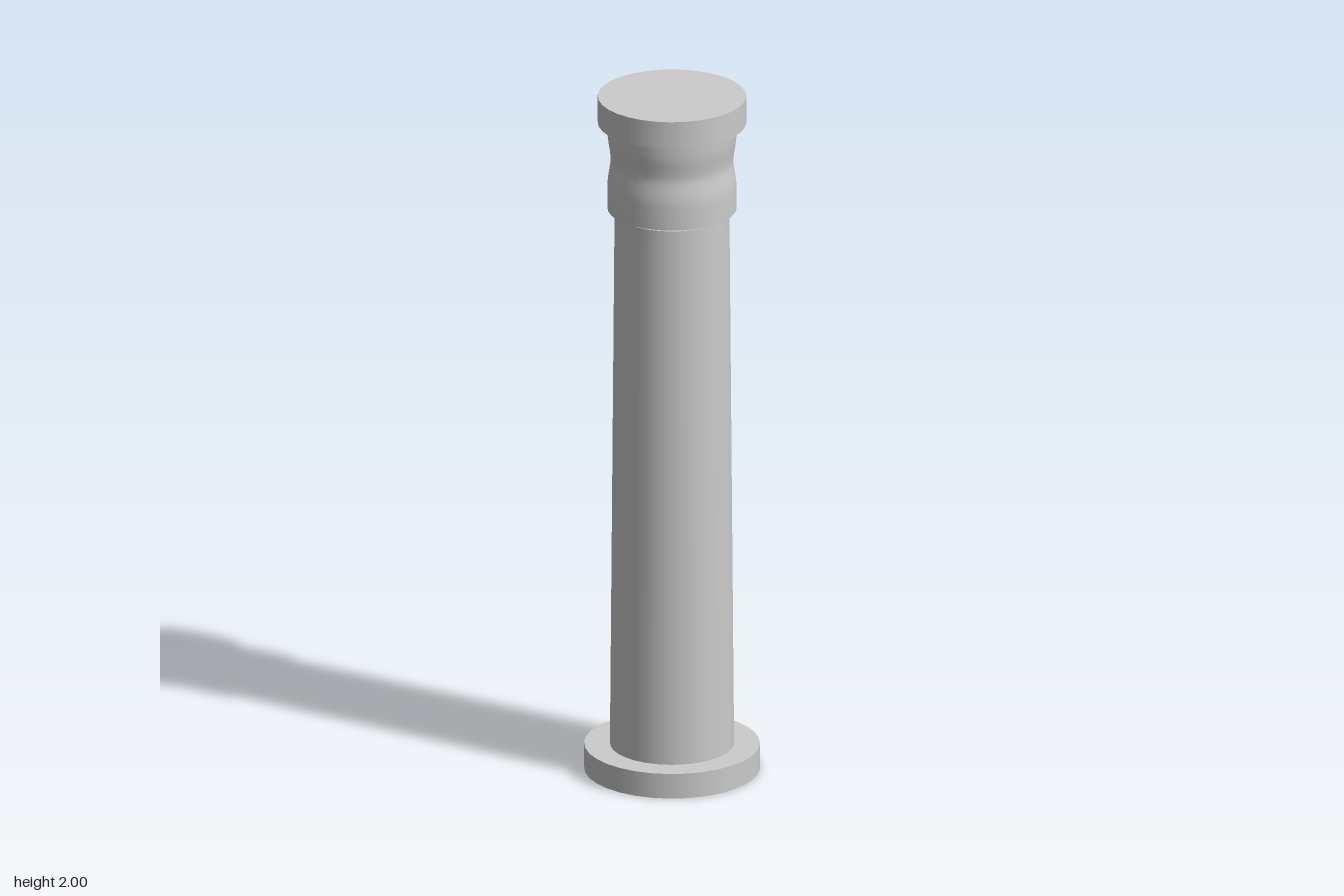
import * as THREE from 'three';
import { toCreasedNormals } from 'three/addons/utils/BufferGeometryUtils.js';

const SIDES = 32;

export function createModel() {
  const column = new THREE.Group();
  column.name = 'column';
  const material = new THREE.MeshStandardMaterial({ color: 0xcccccc });

  const add = (name, geometry) => {
    const mesh = new THREE.Mesh(geometry, material);
    mesh.name = name;
    column.add(mesh);
    return mesh;
  };

  // Round section between two heights
  const drum = (name, y0, y1, rBottom, rTop = rBottom) => {
    const mesh = add(name, new THREE.CylinderGeometry(rTop, rBottom, y1 - y0, SIDES));
    mesh.position.y = (y0 + y1) / 2;
  };

  drum('base', 0, 0.073, 0.245);
  drum('shaft', 0.073, 1.657, 0.173, 0.16);
  drum('neck', 1.657, 1.667, 0.114);
  drum('abacus', 1.922, 2, 0.207);

  // Capital with a softly pinched waist
  const waist = new THREE.SplineCurve([
    [0.18, 1.667], [0.18, 1.71], [0.179, 1.75], [0.174, 1.785], [0.171, 1.81],
    [0.174, 1.84], [0.179, 1.875], [0.181, 1.922],
  ].map(([r, y]) => new THREE.Vector2(r, y))).getPoints(20);
  const profile = [new THREE.Vector2(0, 1.667), ...waist, new THREE.Vector2(0, 1.922)];
  add('capital', toCreasedNormals(new THREE.LatheGeometry(profile, SIDES), 0.7));

  return column;
}
